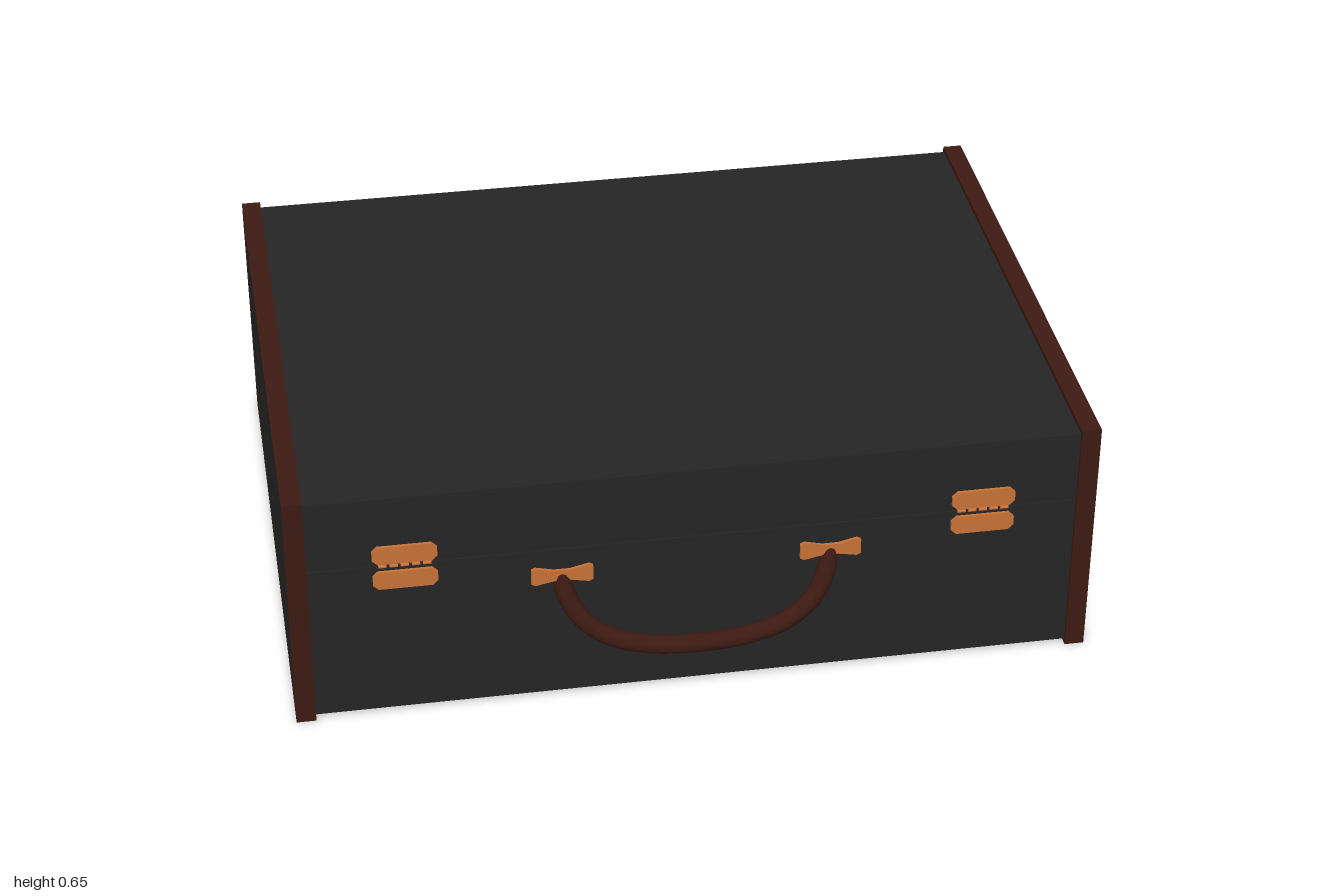
import * as THREE from 'three';

const mat = (color) => new THREE.MeshStandardMaterial({ color });
const leather = mat(0x252525), trim = mat(0x3c1a13), copper = mat(0xc87137);

// Case extents
const BACK = -0.754, FRONT = 0.68, MID = (BACK + FRONT) / 2, DEPTH = FRONT - BACK;

function add(parent, name, geometry, material, x = 0, y = 0, z = 0) {
  const mesh = new THREE.Mesh(geometry, material);
  mesh.name = name;
  mesh.position.set(x, y, z);
  parent.add(mesh);
  return mesh;
}

// Flat plate cut from an outline, standing on the front face
function plate(points, depth) {
  const shape = new THREE.Shape(points.map(([x, y]) => new THREE.Vector2(x, y)));
  return new THREE.ExtrudeGeometry(shape, { depth, bevelEnabled: false });
}

// Rectangular band wrapped around the end of the case
function bandGeometry() {
  const rect = (S, w, h) => new S().moveTo(-w, -h).lineTo(w, -h).lineTo(w, h).lineTo(-w, h).closePath();
  const outer = rect(THREE.Shape, DEPTH / 2 + 0.008, 0.325);
  outer.holes.push(rect(THREE.Path, DEPTH / 2 - 0.001, 0.313));
  const g = new THREE.ExtrudeGeometry(outer, { depth: 0.049, bevelEnabled: false });
  return g.translate(0, 0, -0.0245).rotateY(Math.PI / 2);
}

// Latch: two chamfered plates joined by small knuckles
function latch(side) {
  const g = new THREE.Group();
  g.name = 'latch';
  const w = 0.079, h = 0.025, c = 0.013;
  const outline = [[-w + c, -h], [w - c, -h], [w, -h + c], [w, h - c],
    [w - c, h], [-w + c, h], [-w, h - c], [-w, -h + c]];
  add(g, 'upperPlate', plate(outline, 0.009), copper, 0, 0.477, FRONT - 0.001);
  add(g, 'lowerPlate', plate(outline, 0.009), copper, 0, 0.404, FRONT - 0.001);
  for (let i = -2; i <= 2; i++) {
    const knuckle = new THREE.CylinderGeometry(0.0045, 0.0045, 0.02, 12).rotateZ(Math.PI / 2);
    add(g, 'knuckle', knuckle, copper, i * 0.027, 0.444, FRONT + 0.003);
  }
  g.position.x = side * 0.714;
  return g;
}

export function createModel() {
  const model = new THREE.Group();
  model.name = 'suitcase';

  // Base and lid with a hairline gap between them
  const SEAM = 0.444, GAP = 0.0015, LOW = 0.013, HIGH = 0.638;
  const section = (name, y0, y1) =>
    add(model, name, new THREE.BoxGeometry(1.998, y1 - y0, DEPTH), leather, 0, (y0 + y1) / 2, MID);
  section('base', LOW, SEAM - GAP);
  section('lid', SEAM + GAP, HIGH);

  // Bow-tie handle mount
  const bow = [[-0.076, -0.02], [-0.066, -0.025], [-0.02, -0.016], [0.02, -0.016], [0.066, -0.025],
    [0.076, -0.02], [0.076, 0.02], [0.066, 0.025], [0.02, 0.014], [-0.02, 0.014], [-0.066, 0.025], [-0.076, 0.02]];

  for (const side of [-1, 1]) {
    add(model, 'endTrim', bandGeometry(), trim, side * 0.9755, 0.325, MID);
    model.add(latch(side));
    add(model, 'handleMount', plate(bow, 0.009), copper, side * 0.333, 0.37, FRONT - 0.001);
  }

  // Drooping handle, swinging out from the front
  const half = [[0.333, 0.36, 0.668], [0.321, 0.302, 0.688], [0.283, 0.242, 0.71],
    [0.215, 0.196, 0.727], [0.115, 0.17, 0.736]];
  const path = [
    ...half.map(([x, y, z]) => new THREE.Vector3(-x, y, z)),
    new THREE.Vector3(0, 0.163, 0.738),
    ...half.slice().reverse().map((p) => new THREE.Vector3(...p)),
  ];
  const curve = new THREE.CatmullRomCurve3(path);
  add(model, 'handle', new THREE.TubeGeometry(curve, 64, 0.024, 16), trim);
  for (const i of [0, path.length - 1]) {
    add(model, 'handleEnd', new THREE.SphereGeometry(0.024, 16, 12), trim, path[i].x, path[i].y, path[i].z);
  }

  return model;
}
